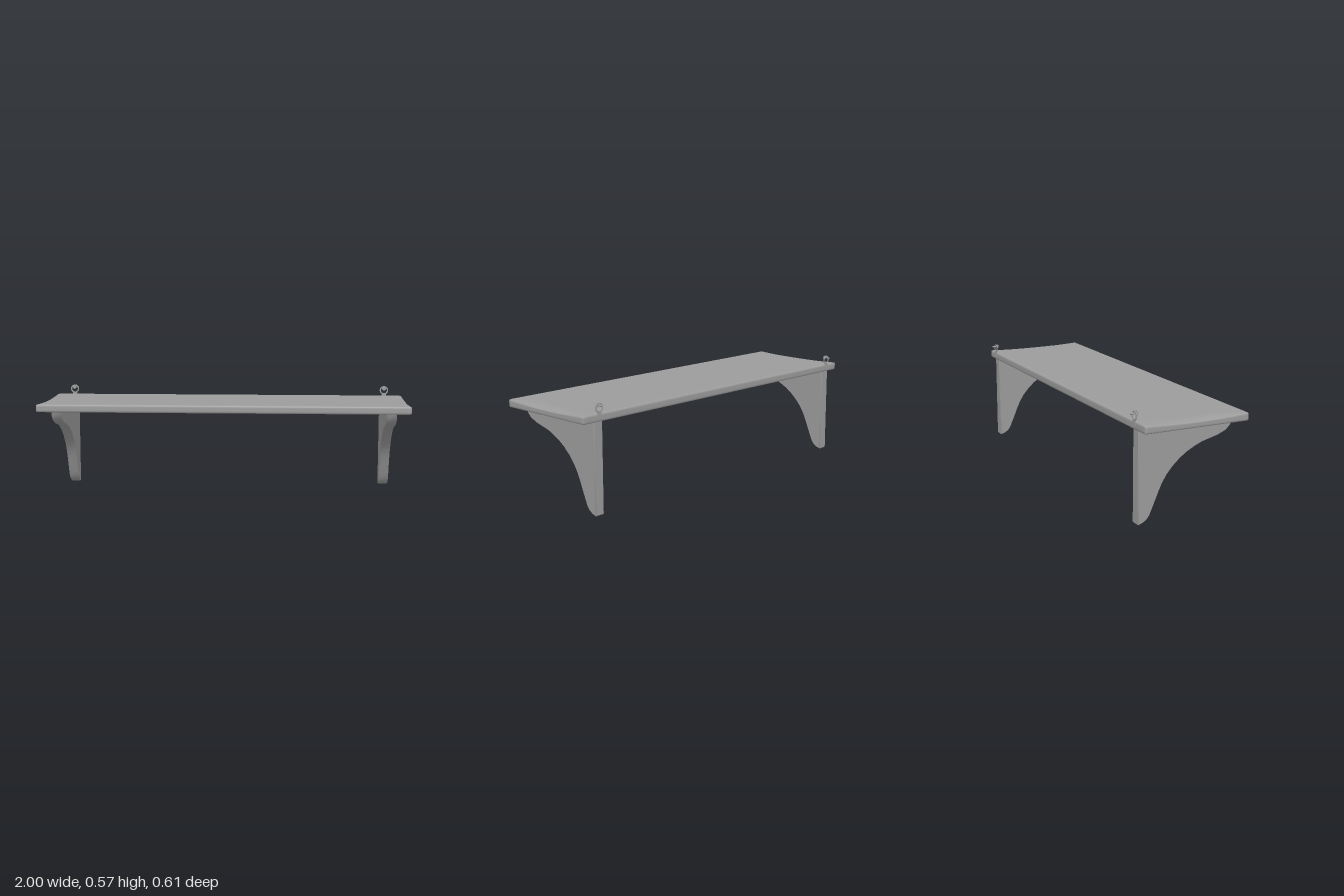
import * as THREE from 'three';
import { mergeVertices, toCreasedNormals } from 'three/addons/utils/BufferGeometryUtils.js';

const material = new THREE.MeshStandardMaterial({ color: 0x9c9c9c });

function part(name, geometry, x = 0, y = 0, z = 0) {
  const mesh = new THREE.Mesh(geometry, material);
  mesh.name = name;
  mesh.position.set(x, y, z);
  return mesh;
}

// Board with rounded edges and hand-worn top edges at both ends
function boardGeometry() {
  const half = new THREE.Vector3(1, 0.0215, 0.29), radius = 0.01;
  const inner = half.clone().subScalar(radius);
  const box = new THREE.BoxGeometry(2, 2, 2, 40, 8, 24);
  box.deleteAttribute('normal');
  box.deleteAttribute('uv');
  const geometry = mergeVertices(box);
  const position = geometry.attributes.position;
  const p = new THREE.Vector3(), core = new THREE.Vector3();
  for (let i = 0; i < position.count; i++) {
    p.fromBufferAttribute(position, i);
    // Crowd the grid towards the edges, then round them
    p.set(Math.sin(p.x * Math.PI / 2), p.y, Math.sin(p.z * Math.PI / 2)).multiply(half);
    core.copy(p).clamp(inner.clone().negate(), inner);
    p.sub(core).setLength(radius).add(core);
    // Wear is deepest midway along each end
    const wear = 0.011 * Math.cos(p.z / half.z * Math.PI / 2) * THREE.MathUtils.smoothstep(Math.abs(p.x), 0.955, 1);
    p.y -= wear * Math.max(0, p.y / half.y);
    position.setXYZ(i, p.x, p.y, p.z);
  }
  geometry.computeVertexNormals();
  return geometry;
}

// Side profile (z, y) with a sweeping front curve, extruded across x
function bracketGeometry() {
  const width = 0.055, bevel = 0.004;
  const shape = new THREE.Shape([
    [0.253, 0.48], [-0.272, 0.48], [-0.272, 0.006], [-0.267, 0.001],
    [-0.242, 0.01], [-0.222, 0.023], [-0.207, 0.042], [-0.192, 0.076], [-0.175, 0.115],
    [-0.157, 0.158], [-0.137, 0.2], [-0.112, 0.239], [-0.08, 0.276], [-0.04, 0.312],
    [0, 0.339], [0.04, 0.36], [0.08, 0.377], [0.17, 0.4], [0.218, 0.42], [0.243, 0.445],
  ].map(([z, y]) => new THREE.Vector2(z, y)));
  const geometry = new THREE.ExtrudeGeometry(shape, {
    depth: width - 2 * bevel, bevelThickness: bevel, bevelSize: bevel,
    bevelOffset: -bevel, bevelSegments: 1,
  });
  geometry.translate(0, 0, -width / 2 + bevel);
  geometry.rotateY(-Math.PI / 2);
  return toCreasedNormals(geometry, 0.6);
}

// Flat eyelet: a ring on a tab that runs down behind the shelf
function hangerGeometry() {
  const shape = new THREE.Shape();
  shape.moveTo(-0.012, -0.05);
  shape.lineTo(0.012, -0.05);
  shape.lineTo(0.012, -0.021);
  shape.absarc(0, 0, 0.0242, -1.05, Math.PI + 1.05, false);
  shape.closePath();
  const hole = new THREE.Path();
  hole.absarc(0, 0, 0.017, 0, Math.PI * 2, true);
  shape.holes.push(hole);
  const geometry = new THREE.ExtrudeGeometry(shape, { depth: 0.004, bevelEnabled: false, curveSegments: 24 });
  return toCreasedNormals(geometry, 0.6);
}

function rod(radius, length) {
  return new THREE.CylinderGeometry(radius, radius, length, 16).rotateX(Math.PI / 2);
}

export function createModel() {
  const model = new THREE.Group();
  model.name = 'wallShelf';

  model.add(part('shelfBoard', boardGeometry(), 0, 0.4955, 0.013));

  const bracket = bracketGeometry();
  const hanger = hangerGeometry();
  for (const [side, x] of [['left', 0.9], ['right', -0.9]]) {
    model.add(part(side + 'Bracket', bracket, x));

    // Eyelet with the wall screw passing through it
    const fixing = new THREE.Group();
    fixing.name = side + 'Hanger';
    const eyelet = part('eyelet', hanger, 0, 0.546, -0.282);
    eyelet.rotation.x = 0.03;
    fixing.add(
      eyelet,
      part('screwHead', rod(0.0115, 0.002), 0, 0.557, -0.268),
      part('screwShank', rod(0.0042, 0.026), 0, 0.557, -0.28),
      part('wallPlug', rod(0.005, 0.013), 0, 0.557, -0.2955),
    );
    fixing.position.x = x;
    model.add(fixing);
  }
  return model;
}
